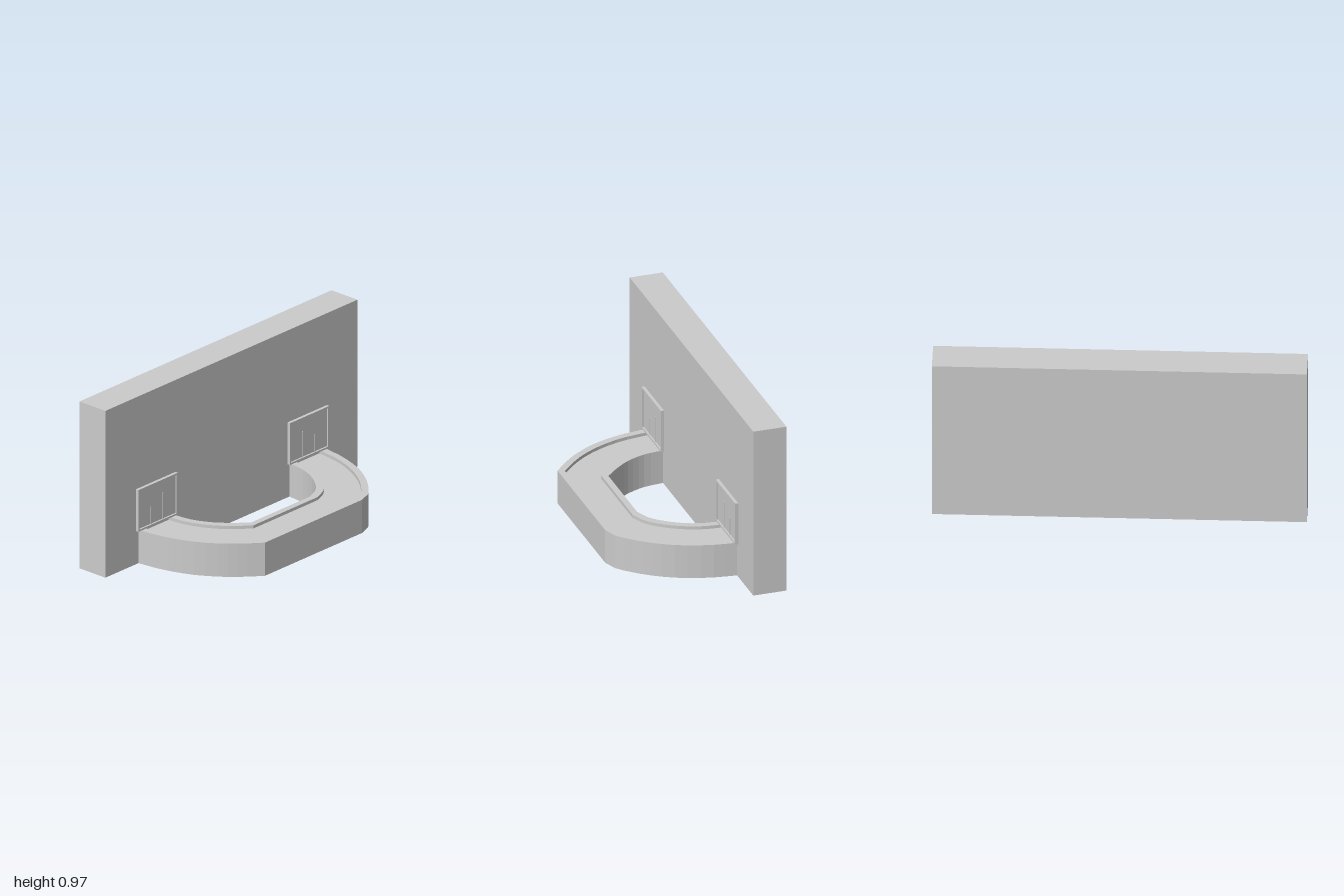
import * as THREE from 'three';

const material = new THREE.MeshStandardMaterial({ color: 0xcccccc, flatShading: true });

function addMesh(parent, name, geometry, x = 0, y = 0, z = 0) {
  const mesh = new THREE.Mesh(geometry, material);
  mesh.name = name;
  mesh.position.set(x, y, z);
  parent.add(mesh);
  return mesh;
}

const addBox = (parent, name, w, h, d, x, y, z) =>
  addMesh(parent, name, new THREE.BoxGeometry(w, h, d), x, y, z);

// Smooth half of a loop edge in plan (x, z), running from the wall outwards
const sweep = (points) =>
  new THREE.SplineCurve(points.map(([x, z]) => new THREE.Vector2(x, z))).getPoints(12);

// Edge of the loop: left half to a sharp corner, right half to a softened corner
function loopEdge(side, corner, softCorner) {
  const left = sweep([...side.map(([x, z]) => [-x, z]), corner]);
  const right = sweep([...side, softCorner[0]]);
  return [...left, new THREE.Vector2(...softCorner[1]), ...right.reverse()];
}

// Solid strip between two plan edges, extruded upwards
function strip(outer, inner, height) {
  const outline = [...outer, ...[...inner].reverse()];
  const shape = new THREE.Shape(outline.map((p) => new THREE.Vector2(p.x, -p.y)));
  return new THREE.ExtrudeGeometry(shape, { depth: height, bevelEnabled: false }).rotateX(-Math.PI / 2);
}

// Recessed wall panel with a raised border and upright bars; side is -1 or 1
function createGate(side) {
  const gate = new THREE.Group();
  gate.name = side > 0 ? 'leftGate' : 'rightGate';
  const width = 0.314, height = 0.243, border = 0.01, depth = 0.02;
  gate.position.set(side * 0.601, 0.193, -0.215);

  addBox(gate, 'gatePanel', width, height, 0.01, 0, height / 2, 0.005);
  for (const y of [border / 2, height - border / 2])
    addBox(gate, 'gateRail', width, border, depth, 0, y, depth / 2);
  for (const s of [-1, 1])
    addBox(gate, 'gatePost', border, height - 2 * border, depth, s * (width - border) / 2, height / 2, depth / 2);

  // Bars grow taller towards the middle of the model
  [[0.048, 0.1], [-0.048, 0.15]].forEach(([x, h]) =>
    addBox(gate, 'gateBar', 0.007, h, 0.004, side * x, border + h / 2, 0.012));
  return gate;
}

export function createModel() {
  const model = new THREE.Group();
  model.name = 'wallWithLoop';

  // Back wall
  addBox(model, 'wall', 2, 0.97, 0.187, 0, 0.485, -0.3065);

  // Plan edges of the loop and of its sunken floor
  const outer = loopEdge(
    [[0.738, -0.213], [0.715, -0.06], [0.66, 0.1], [0.58, 0.23], [0.5, 0.32]],
    [-0.41, 0.4], [[0.44, 0.372], [0.36, 0.4]]);
  const floorOuter = loopEdge(
    [[0.698, -0.213], [0.675, -0.06], [0.625, 0.08], [0.55, 0.205], [0.47, 0.295]],
    [-0.395, 0.365], [[0.42, 0.338], [0.345, 0.365]]);
  const floorInner = loopEdge(
    [[0.5, -0.213], [0.485, -0.1], [0.44, 0.015], [0.37, 0.115]],
    [-0.28, 0.2], [[0.31, 0.168], [0.23, 0.2]]);
  const inner = loopEdge(
    [[0.46, -0.213], [0.445, -0.1], [0.4, 0.005], [0.335, 0.09]],
    [-0.26, 0.165], [[0.285, 0.133], [0.205, 0.165]]);

  // Loop body with raised rims along both edges
  const loop = new THREE.Group();
  loop.name = 'loop';
  addMesh(loop, 'loopBody', strip(outer, inner, 0.175));
  addMesh(loop, 'outerRim', strip(outer, floorOuter, 0.018), 0, 0.175, 0);
  addMesh(loop, 'innerRim', strip(floorInner, inner, 0.018), 0, 0.175, 0);
  model.add(loop);

  // Gates above both ends of the loop
  for (const side of [-1, 1]) model.add(createGate(side));

  return model;
}
